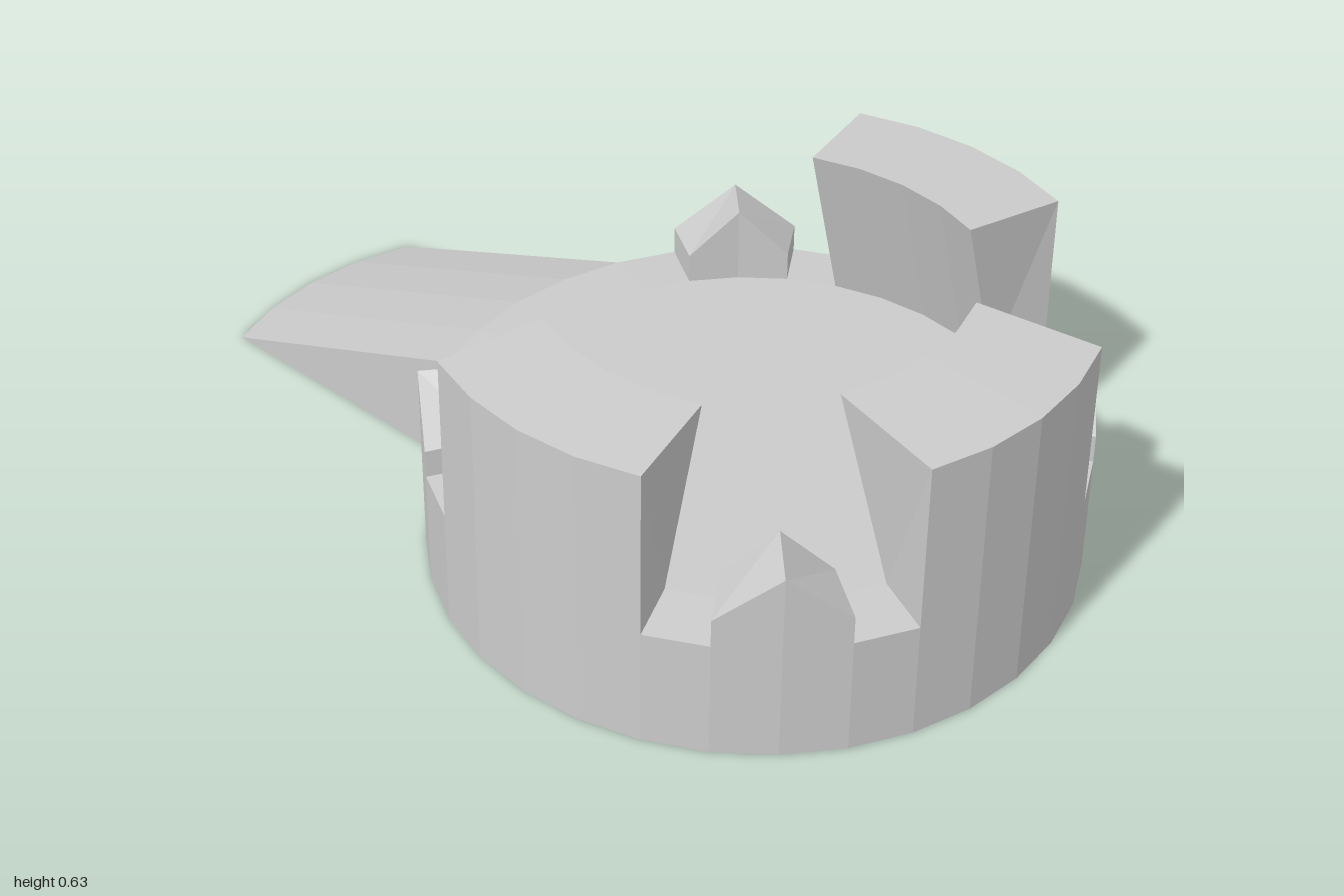
import * as THREE from 'three';

const R = 0.663, INNER = 0.535, RIM = 0.255, FLOOR = 0.262, STEP = Math.PI / 16, CENTRE_Z = 0.335;

const material = new THREE.MeshStandardMaterial({ color: 0xcccccc, flatShading: true });

// Closed solid through cross-sections; each runs inner bottom, outer bottom, then up and back in
function loft(sections) {
  const pos = [];
  const tri = (...corners) => corners.forEach((c) => pos.push(...c));
  const n = sections[0].length;
  for (let i = 0; i < sections.length - 1; i++) {
    for (let j = 0; j < n; j++) {
      const a = sections[i][j], b = sections[i][(j + 1) % n];
      const d = sections[i + 1][j], c = sections[i + 1][(j + 1) % n];
      tri(a, c, b);
      tri(a, d, c);
    }
  }
  const first = sections[0], last = sections[sections.length - 1];
  for (let j = 1; j < n - 1; j++) {
    tri(first[0], first[j], first[j + 1]);
    tri(last[0], last[j + 1], last[j]);
  }
  const geometry = new THREE.BufferGeometry();
  geometry.setAttribute('position', new THREE.Float32BufferAttribute(pos, 3));
  geometry.computeVertexNormals();
  return geometry;
}

// One cross-section for every facet edge from -half to +half around the +z direction
function arcSections(half, makeSection) {
  const sections = [];
  for (let k = -half; k <= half; k++) {
    sections.push(makeSection(Math.sin(k * STEP), Math.cos(k * STEP), k));
  }
  return sections;
}

// Tall merlon whose inner face leans toward the middle
const merlon = (lean) => loft(arcSections(2, (s, c) => [
  [INNER * s, FLOOR, INNER * c],
  [R * s, RIM, R * c],
  [R * s, 0.615, R * c],
  [INNER * s * 0.98, 0.626, INNER * c - lean],
]));

// Small gabled block
const gable = () => loft(arcSections(1, (s, c, k) => {
  const top = k === 0 ? 0.415 : 0.315;
  return [
    [INNER * s, FLOOR, INNER * c],
    [R * s, RIM, R * c],
    [R * s, top, R * c],
    [INNER * s, top + 0.01, INNER * c],
  ];
}));

// Wedge with a curved tip, running from the rim to the ground
const ramp = () => loft(arcSections(2, (s, c) => [
  [R * s, 0, R * c],
  [R * s, 0, R * c + 0.672],
  [R * s, RIM, R * c],
]));

export function createModel() {
  const model = new THREE.Group();
  model.name = 'roundTower';
  const add = (name, geometry, angle = 0) => {
    const mesh = new THREE.Mesh(geometry, material);
    mesh.name = name;
    mesh.rotation.y = angle;
    mesh.position.z = CENTRE_Z;
    model.add(mesh);
  };

  // Drum with a slightly sloping rim
  const profile = [[0, 0], [R, 0], [R, RIM], [INNER, FLOOR], [0, FLOOR]];
  add('base', new THREE.LatheGeometry(profile.map(([x, y]) => new THREE.Vector2(x, y)), 32));

  // Merlons on three sides, ramp on the fourth
  add('frontMerlon', merlon(0.132));
  add('leftMerlon', merlon(0.1), Math.PI / 2);
  add('rightMerlon', merlon(0.1), -Math.PI / 2);
  add('rearRamp', ramp(), Math.PI);

  // Gabled blocks on the diagonals
  ['frontLeft', 'backLeft', 'backRight', 'frontRight'].forEach((corner, i) => {
    add(corner + 'Gable', gable(), Math.PI / 4 + i * Math.PI / 2);
  });
  return model;
}
